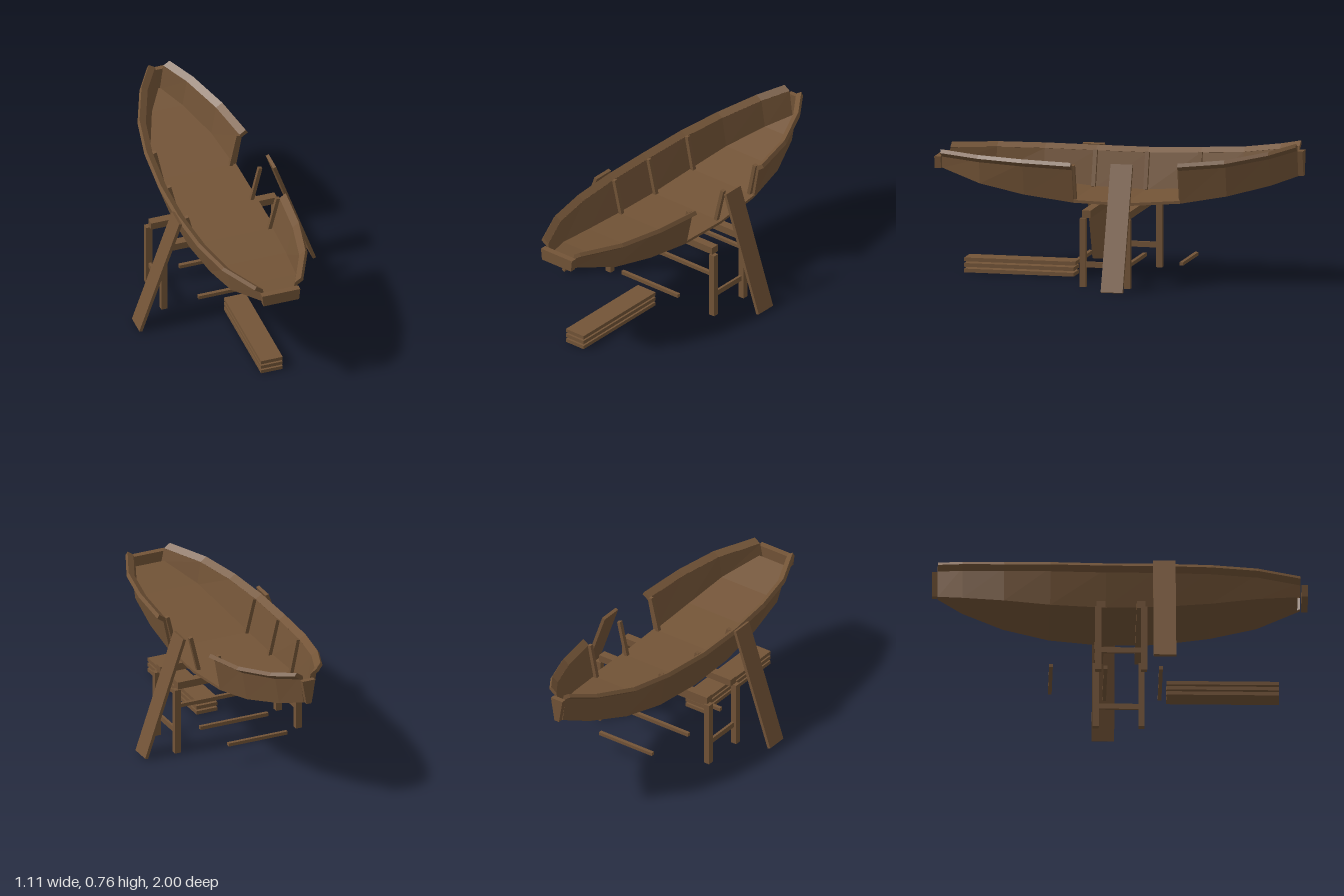
import * as THREE from 'three';

// Hull stations, bow to stern: z, keel y, floor half width, wall-top y, wall-top half width
const STATIONS = [
  [0.96, 0.565, 0.09, 0.635, 0.105],
  [0.73, 0.505, 0.19, 0.63, 0.21],
  [0.48, 0.46, 0.222, 0.625, 0.26],
  [0.205, 0.43, 0.24, 0.62, 0.282],
  [-0.08, 0.423, 0.24, 0.62, 0.282],
  [-0.375, 0.445, 0.225, 0.635, 0.26],
  [-0.62, 0.487, 0.185, 0.655, 0.213],
  [-0.84, 0.54, 0.1, 0.695, 0.125],
  [-0.97, 0.583, 0.018, 0.73, 0.038],
];

// Solid through four-cornered sections, corners counter-clockwise from the front
function loft(sections) {
  const pos = [];
  const quad = (a, b, c, d) => pos.push(...a, ...b, ...c, ...a, ...c, ...d);
  for (let k = 0; k < sections.length - 1; k++) {
    const p = sections[k], q = sections[k + 1];
    for (let i = 0; i < 4; i++) {
      const j = (i + 1) % 4;
      quad(p[i], q[i], q[j], p[j]);
    }
  }
  const f = sections[0], l = sections[sections.length - 1];
  quad(f[0], f[1], f[2], f[3]);
  quad(l[3], l[2], l[1], l[0]);
  const g = new THREE.BufferGeometry();
  g.setAttribute('position', new THREE.Float32BufferAttribute(pos, 3));
  g.computeVertexNormals();
  return g;
}

export function createModel() {
  const model = new THREE.Group();
  model.name = 'boatOnTrestle';
  const wood = new THREE.MeshStandardMaterial({ color: 0x735437 });
  wood.name = 'brown wood';

  const add = (name, geometry) => {
    const mesh = new THREE.Mesh(geometry, wood);
    mesh.name = name;
    model.add(mesh);
    return mesh;
  };
  const box = (name, w, h, d, x, y, z) => {
    const m = add(name, new THREE.BoxGeometry(w, h, d));
    m.position.set(x, y, z);
    return m;
  };
  // Board leaning in the xy plane from one point to another
  const lean = (name, x0, y0, x1, y1, thick, depth, z) => {
    const dx = x1 - x0, dy = y1 - y0;
    const m = box(name, thick, Math.hypot(dx, dy), depth, (x0 + x1) / 2, (y0 + y1) / 2, z);
    m.rotation.z = -Math.atan2(dx, dy);
  };
  // Section on one side of the hull, mirrored with its winding kept
  const section = (side, z, pts) => {
    const s = pts.map(([x, y]) => [side * x, y, z]);
    return side < 0 ? s.reverse() : s;
  };

  // Flat curved floor
  add('hullFloor', loft(STATIONS.map(([z, y, b], i) => section(1, i ? z : 0.945,
    [[-b, y], [b, y], [b, y + 0.015], [-b, y + 0.015]]))));

  // Side planking and tilted gunwales; the left side is open amidships
  const runs = [[-1, 0, 9, 'right'], [1, 0, 4, 'leftFront'], [1, 5, 9, 'leftRear']];
  for (const [side, from, to, label] of runs) {
    const part = STATIONS.slice(from, to);
    add(label + 'Planking', loft(part.map(([z, yb, b, yt, w]) => section(side, z,
      [[b, yb], [w, yt + 0.01], [w - 0.015, yt + 0.01], [b - 0.015, yb + 0.006]]))));
    add(label + 'Gunwale', loft(part.map(([z, , , y, w]) => section(side, z,
      [[w - 0.003, y - 0.008], [w + 0.032, y + 0.016], [w + 0.02, y + 0.035], [w - 0.015, y + 0.011]]))));
  }

  // Bow and stern boards
  add('bowTransom', loft([1, 0.965].map((z) => section(1, z,
    [[-0.1, 0.563], [0.1, 0.563], [0.107, 0.628], [-0.107, 0.628]]))));
  add('sternPost', loft([-0.972, -1].map((z) => section(1, z,
    [[-0.015, 0.585], [0.015, 0.585], [0.038, 0.72], [-0.038, 0.72]]))));

  // Ribs inside the planking
  for (const i of [3, 4, 5]) {
    const [z, yb, b, yt, w] = STATIONS[i];
    for (const s of [-1, 1]) {
      lean('rib', s * (b - 0.03), yb + 0.015, s * (w - 0.025), yt + 0.015, 0.02, 0.022, z);
    }
  }

  // Leaning props holding the hull upright
  lean('rightProp', -0.544, 0.004, -0.319, 0.66, 0.018, 0.12, 0.23);
  lean('leftProp', 0.544, 0.004, 0.319, 0.66, 0.018, 0.12, -0.08);

  // Trestle: two cross beams, four legs, two side stretchers
  for (const s of [-1, 1]) {
    box('trestleBeam', 0.71, 0.04, 0.047, 0, 0.39, s * 0.107);
    for (const x of [-0.358, 0.358]) {
      box('trestleLeg', 0.035, 0.37, 0.033, x, 0.185, s * 0.122);
    }
    box('trestleStretcher', 0.014, 0.03, 0.23, s * 0.355, 0.12, 0);
  }

  // Loose cross bars under the hull
  box('crossBar', 0.39, 0.02, 0.02, 0, 0.095, 0.215);
  box('crossBar', 0.4, 0.02, 0.02, 0, 0.092, -0.08);
  box('crossBar', 0.348, 0.018, 0.02, 0, 0.112, -0.37);

  // Stack of spare planks
  for (let i = 0; i < 3; i++) {
    box('sparePlank', 0.122, 0.02, 0.6, 0, 0.01 + i * 0.03, 0.547);
  }

  return model;
}
